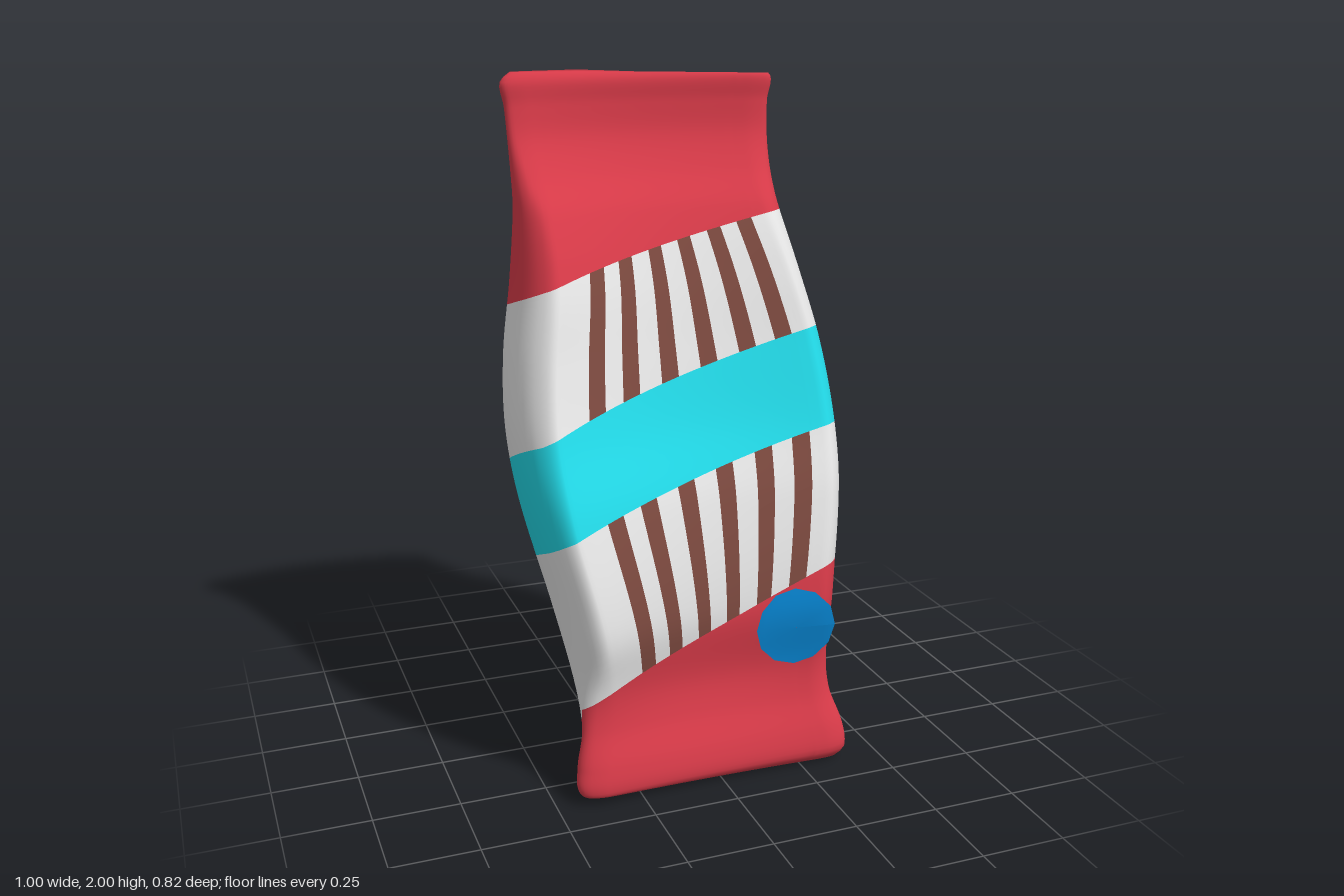
import * as THREE from 'three';

// Outline by height: y, right edge x, left edge x, front corner z, rear centre z, bow depth
const OUTLINE = [
  [0, -0.37, 0.37, 0.385, 0.355, 0.01],
  [0.03, -0.43, 0.4, 0.41, 0.335, 0.01],
  [0.1, -0.43, 0.4, 0.4, 0.3, 0.015],
  [0.2, -0.405, 0.372, 0.365, 0.255, 0.03],
  [0.3, -0.403, 0.38, 0.355, 0.15, 0.045],
  [0.5, -0.43, 0.415, 0.37, -0.04, 0.055],
  [0.8, -0.49, 0.475, 0.29, -0.2, 0.07],
  [1.0, -0.505, 0.495, 0.195, -0.29, 0.09],
  [1.2, -0.485, 0.485, 0.105, -0.355, 0.085],
  [1.4, -0.445, 0.45, 0.02, -0.405, 0.085],
  [1.6, -0.42, 0.41, -0.095, -0.4, 0.08],
  [1.7, -0.418, 0.408, -0.185, -0.388, 0.08],
  [1.8, -0.42, 0.41, -0.245, -0.38, 0.075],
  [1.9, -0.425, 0.415, -0.265, -0.383, 0.07],
  [1.97, -0.435, 0.425, -0.265, -0.382, 0.07],
  [2.0, -0.4, 0.39, -0.29, -0.365, 0.065],
];

const clamp = THREE.MathUtils.clamp;

// Smooth (Hermite) lookup of the outline at a height
function outlineAt(y) {
  const T = OUTLINE, n = T.length;
  y = clamp(y, 0, 2);
  let i = 0;
  while (i < n - 2 && y > T[i + 1][0]) i++;
  const h = T[i + 1][0] - T[i][0], t = (y - T[i][0]) / h;
  const slope = (k, c) => {
    const a = T[Math.max(0, k - 1)], b = T[Math.min(n - 1, k + 1)];
    return (b[c] - a[c]) / (b[0] - a[0]);
  };
  const [right, left, front, back, bow] = [1, 2, 3, 4, 5].map((c) =>
    T[i][c] * (1 + 2 * t) * (1 - t) ** 2 + T[i + 1][c] * t * t * (3 - 2 * t) +
    h * (slope(i, c) * t * (1 - t) ** 2 - slope(i + 1, c) * t * t * (1 - t)));
  return { cx: (left + right) / 2, half: (left - right) / 2, front, back, bow,
    thick: Math.max(0.008, front - bow - back) };
}

// z at a section position: s across (-1..1), t from rear (0) to front (1).
// The sides bow forward, the right edge more than the left.
function depthAt(o, s, t) {
  const reach = 1 - 0.16 * Math.min(1, o.thick / 0.3);
  const q = clamp(s / reach, -1, 1);
  return o.back + t * o.thick + o.bow * q * q * (0.84 - 0.16 * q);
}

// Row guides: centre height, sideways slope, front-to-back slope, stripe pinch, rows above, band
const GUIDES = [
  [0.012, -0.03, 0, 0, 38, 'base'],
  [0.45, 0.43, 0.42, 0.18, 16, 'lower'],
  [0.87, 0.27, 0.36, 0, 12, 'band'],
  [1.14, 0.28, 0.34, 0, 16, 'upper'],
  [1.5, 0.235, 0.22, 0.12, 42, 'top'],
  [1.988, -0.02, 0, 0, 0, 'top'],
];

const STRIPES = [-0.56, -0.33, -0.074, 0.18, 0.434, 0.67];
const STRIPE_HALF = 0.055;

// Columns around the bag: { s, t, rear }
function makeColumns() {
  const cols = [];
  const addLine = (stops, t, rear) => {
    for (let i = 0; i < stops.length - 1; i++) {
      const n = Math.max(2, Math.ceil(Math.abs(stops[i + 1] - stops[i]) / 0.06));
      for (let k = 0; k < n; k++)
        cols.push({ s: stops[i] + (stops[i + 1] - stops[i]) * k / n, t, rear });
    }
  };
  const side = new THREE.CatmullRomCurve3(
    [[0.75, 1], [0.85, 0.985], [0.95, 0.82], [1, 0.5], [0.98, 0.2], [0.9, 0.05], [0.75, 0.01], [0.6, 0]]
      .map(([s, t]) => new THREE.Vector3(s, t, 0))).getPoints(28);
  const edges = STRIPES.flatMap((s) => [s - STRIPE_HALF, s + STRIPE_HALF]);
  addLine([-0.75, ...edges, 0.75], 1, false);
  side.slice(0, -1).forEach((p) => cols.push({ s: p.x, t: p.y, rear: p.y < 0.5 }));
  addLine([0.6, 0.5, 0.32, 0, -0.5, -0.56, -0.6], 0, true);
  side.slice(1).reverse().forEach((p) => cols.push({ s: -p.x, t: p.y, rear: p.y < 0.5 }));
  return cols;
}

// Rows from bottom to top; the first and last close the seams
function makeRows() {
  const rows = [];
  for (let g = 0; g < GUIDES.length - 1; g++) {
    const a = GUIDES[g], b = GUIDES[g + 1], count = a[4];
    for (let k = 0; k < count; k++) {
      const [y, sx, sz, pinch] = [0, 1, 2, 3].map((c) => a[c] + (b[c] - a[c]) * k / count);
      rows.push({ y, sx, sz, pinch, band: a[5], f: (k + 0.5) / count });
    }
  }
  const [y, sx, sz, pinch, , band] = GUIDES[GUIDES.length - 1];
  const last = { y, sx, sz, pinch, band };
  return [{ ...rows[0], closed: true }, ...rows, last, { ...last, closed: true }];
}

// Point on the bag, settling height against width and depth
function bagPoint(row, col) {
  const t = row.closed ? 0.5 : col.t;
  const s = col.s * (1 - row.pinch * clamp(t, 0, 1) * (1 - col.s ** 2));
  let y = row.y, o = outlineAt(y);
  for (let k = 0; k < 10; k++) {
    const x = o.cx + s * o.half;
    const lean = clamp(t < 0.5 ? 2.5 * x : x, -0.46, 0.46);
    y = row.y + row.sx * lean + row.sz * (t - 1) * o.thick;
    o = outlineAt(y);
  }
  return [o.cx + s * o.half, y, depthAt(o, s, t)];
}

// How far the printed panel wraps on the rear, per band: right and left limits
const WRAP = { upper: [-0.5, 0.9], band: [-0.56, 0.32], lower: [-0.9, 0.5] };
const NAMES = ['red', 'white', 'cyan', 'brown', 'green'];

function cellColour(row, s, rear) {
  const wrap = WRAP[row.band];
  if (!wrap) return 'red';
  if (rear && s > wrap[0] && s < wrap[1]) {
    const mark = row.band === 'upper' && s > 0.86 &&
      ((row.f > 0.07 && row.f < 0.34) || (row.f > 0.68 && row.f < 0.97));
    return mark ? 'green' : 'red';
  }
  if (row.band === 'band') return 'cyan';
  return !rear && STRIPES.some((c) => Math.abs(s - c) < STRIPE_HALF) ? 'brown' : 'white';
}

function makeBag() {
  const cols = makeColumns(), rows = makeRows(), n = cols.length;
  const positions = rows.flatMap((r) => cols.flatMap((c) => bagPoint(r, c)));
  const faces = Object.fromEntries(NAMES.map((name) => [name, []]));
  for (let i = 0; i < rows.length - 1; i++) {
    for (let j = 0; j < n; j++) {
      const k = (j + 1) % n;
      const a = i * n + j, b = i * n + k, c = b + n, d = a + n;
      const rear = cols[j].rear && cols[k].rear;
      faces[cellColour(rows[i], (cols[j].s + cols[k].s) / 2, rear)].push(a, b, c, a, c, d);
    }
  }
  const geometry = new THREE.BufferGeometry();
  geometry.setAttribute('position', new THREE.Float32BufferAttribute(positions, 3));
  geometry.setIndex(NAMES.flatMap((name) => faces[name]));
  let start = 0;
  NAMES.forEach((name, m) => {
    geometry.addGroup(start, faces[name].length, m);
    start += faces[name].length;
  });
  geometry.computeVertexNormals();
  return geometry;
}

// Round spot laid over the lower front
function makeSpot() {
  const geometry = new THREE.RingGeometry(0.001, 0.119, 12, 6);
  const p = geometry.attributes.position;
  for (let i = 0; i < p.count; i++) {
    const x = p.getX(i) + 0.245, y = p.getY(i) + 0.425, o = outlineAt(y);
    p.setXYZ(i, x, y, depthAt(o, (x - o.cx) / o.half, 1) + 0.006);
  }
  geometry.computeVertexNormals();
  return geometry;
}

export function createModel() {
  const material = (name, color) => {
    const m = new THREE.MeshStandardMaterial({ color });
    m.name = name;
    return m;
  };
  const bagMaterials = [
    material('red', 0xd63a48), material('white', 0xe4e4e4), material('cyan', 0x22d8e6),
    material('brown', 0x7a483e), material('green', 0x2e7d4a),
  ];
  const group = new THREE.Group();
  group.name = 'snackBag';
  const bag = new THREE.Mesh(makeBag(), bagMaterials);
  bag.name = 'wrapper';
  const spot = new THREE.Mesh(makeSpot(), material('blue', 0x0784d0));
  spot.name = 'blueSpot';
  group.add(bag, spot);
  return group;
}
